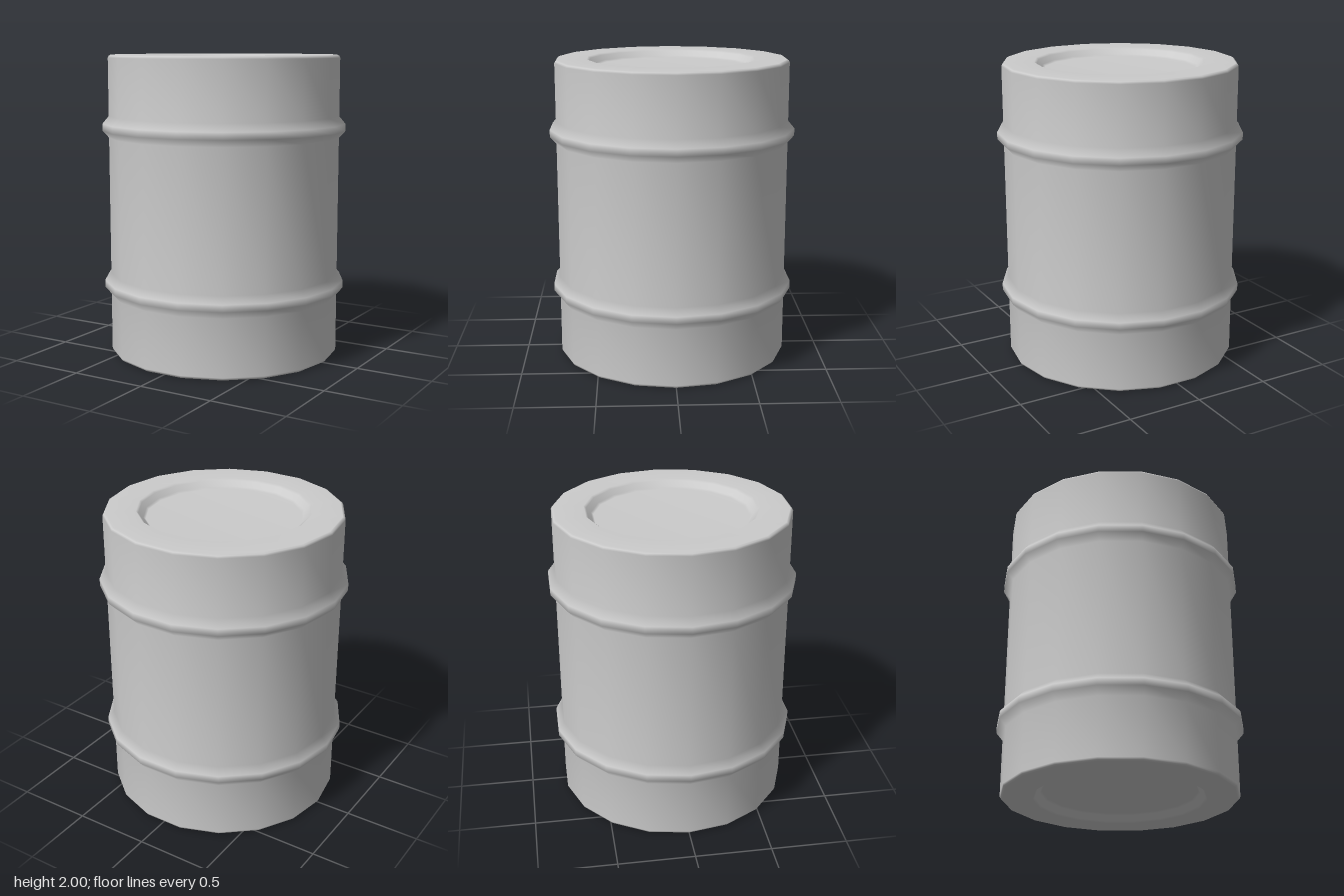
import * as THREE from 'three';
import { mergeVertices } from 'three/addons/utils/BufferGeometryUtils.js';

const SIDES = 18;
const HEIGHT = 2;

export function createModel() {
  const group = new THREE.Group();
  group.name = 'barrel';

  // Lower half of the profile: [radius, y] from the base centre to mid-height
  const lower = [
    [0, 0.055], [0.5, 0.055],                            // recessed floor
    [0.515, 0.043], [0.545, 0.012], [0.56, 0],           // sloped recess wall
    [0.752, 0], [0.764, 0.007], [0.77, 0.02],            // bevelled rim
    [0.77, 0.4], [0.812, 0.45], [0.812, 0.497], [0.77, 0.543], // raised hoop
  ];
  // The upper half mirrors the lower one
  const upper = lower.map(([r, y]) => [r, HEIGHT - y]).reverse();
  const profile = [...lower, ...upper].map(([r, y]) => new THREE.Vector2(r, y));

  // Weld the seam so that area-weighted normals keep the lids and wall even
  const lathe = new THREE.LatheGeometry(profile, SIDES, Math.PI / 2);
  lathe.deleteAttribute('uv');
  lathe.deleteAttribute('normal');
  const geometry = mergeVertices(lathe);
  geometry.computeVertexNormals();

  const shell = new THREE.Mesh(geometry, new THREE.MeshStandardMaterial({ color: 0xcccccc }));
  shell.name = 'barrelShell';
  group.add(shell);
  return group;
}
